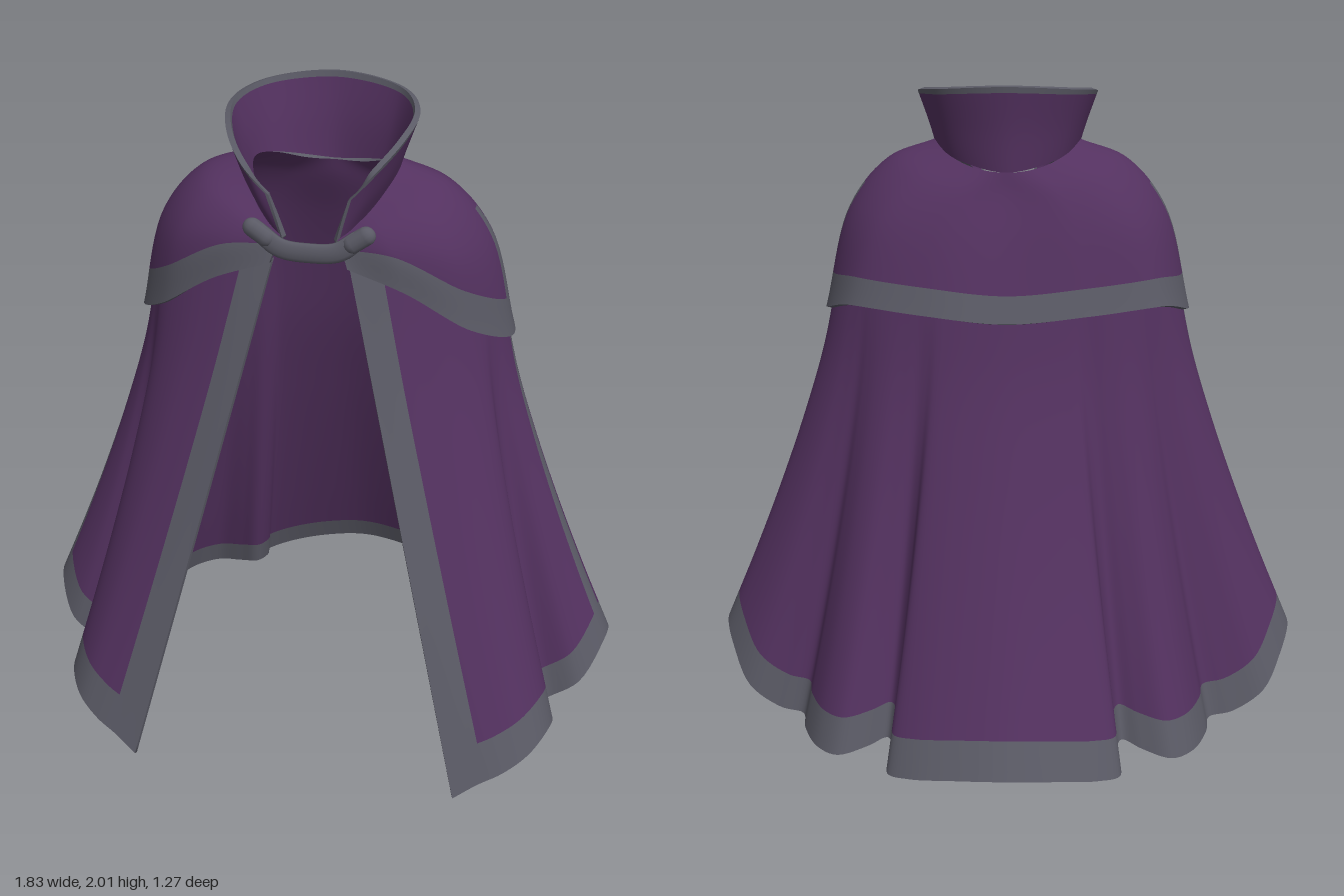
import * as THREE from 'three';

const purple = new THREE.MeshStandardMaterial({ color: 0x53315f });
purple.name = 'purple cloth';
const grey = new THREE.MeshStandardMaterial({ color: 0x5a5a65 });
grey.name = 'grey trim';
const V = (x, y, z) => new THREE.Vector3(x, y, z);

// Mirror a half set of columns (front to back) into a full set running round the back
function mirrored(half) {
  const right = half.map((col) => col.map(([x, y, z]) => V(-x, y, z)));
  const left = half.map((col) => col.map(([x, y, z]) => V(x, y, z))).reverse().slice(1);
  return [...right, ...left];
}

// Smooth surface through the columns: u runs round the body, v runs down a column
function loft(columns) {
  const curves = columns.map((c) => new THREE.CatmullRomCurve3(c));
  const rows = new Map();
  const row = (v) => {
    if (!rows.has(v)) rows.set(v, new THREE.CatmullRomCurve3(curves.map((c) => c.getPoint(v))));
    return rows.get(v);
  };
  return (u, v) => row(v).getPoint(u);
}

// Cloth with thickness: outer face, lining and grey edge; the two rules say where trim lies
function cloth(name, surface, nu, nv, thickness, outerTrim, innerTrim) {
  const w = nu + 1, n = w * (nv + 1);
  const id = (i, j) => j * w + i;
  const pos = [];
  const faces = [[], []];
  const skin = [];
  for (let j = 0; j <= nv; j++)
    for (let i = 0; i <= nu; i++) pos.push(...surface(i / nu, j / nv).toArray());
  for (let j = 0; j < nv; j++)
    for (let i = 0; i < nu; i++) {
      const a = id(i, j), b = id(i + 1, j), c = id(i + 1, j + 1), d = id(i, j + 1);
      const u = (i + 0.5) / nu, v = (j + 0.5) / nv;
      skin.push(a, b, c, a, c, d);
      faces[outerTrim(u, v) ? 1 : 0].push(a, b, c, a, c, d);
      faces[innerTrim(u, v) ? 1 : 0].push(n + a, n + c, n + b, n + a, n + d, n + c);
    }

  // Lining: the outer face moved inward along its normals
  const outer = new THREE.BufferGeometry();
  outer.setAttribute('position', new THREE.Float32BufferAttribute(pos, 3));
  outer.setIndex(skin);
  outer.computeVertexNormals();
  const normals = outer.attributes.normal.array;
  for (let k = 0; k < n * 3; k++) pos.push(pos[k] - normals[k] * thickness);

  // Edge strip all round
  const rim = [];
  for (let i = 0; i < nu; i++) rim.push(id(i, 0));
  for (let j = 0; j < nv; j++) rim.push(id(nu, j));
  for (let i = nu; i > 0; i--) rim.push(id(i, nv));
  for (let j = nv; j > 0; j--) rim.push(id(0, j));
  rim.forEach((r, k) => {
    for (const q of [r, n + r]) pos.push(pos[q * 3], pos[q * 3 + 1], pos[q * 3 + 2]);
    const a = 2 * n + 2 * k, b = 2 * n + 2 * ((k + 1) % rim.length);
    faces[1].push(a, a + 1, b, b, a + 1, b + 1);
  });

  const geo = new THREE.BufferGeometry();
  geo.setAttribute('position', new THREE.Float32BufferAttribute(pos, 3));
  geo.setIndex([...faces[0], ...faces[1]]);
  geo.addGroup(0, faces[0].length, 0);
  geo.addGroup(faces[0].length, faces[1].length, 1);
  geo.computeVertexNormals();
  const mesh = new THREE.Mesh(geo, [purple, grey]);
  mesh.name = name;
  return mesh;
}

// Distance from the front edge, counted in columns
const fromFront = (u, count) => Math.min(u, 1 - u) * (count - 1);

// Long pleated cloak: hem points (x, y, z) and their angle on the shoulder ring
function makeCloak() {
  const hem = [
    [0.50, 0.00, 0.63, 0.21], [0.57, 0.04, 0.60, 0.35], [0.64, 0.07, 0.57, 0.50],
    [0.71, 0.11, 0.52, 0.72], [0.76, 0.14, 0.43, 0.95], [0.77, 0.13, 0.35, 1.10],
    [0.72, 0.10, 0.28, 1.20], [0.74, 0.09, 0.22, 1.27], [0.84, 0.16, 0.20, 1.40],
    [0.905, 0.26, 0.10, 1.57], [0.915, 0.26, 0.02, 1.70], [0.88, 0.20, -0.08, 1.85],
    [0.82, 0.11, -0.16, 2.00], [0.72, 0.05, -0.19, 2.12], [0.645, 0.04, -0.21, 2.20],
    [0.63, 0.03, -0.28, 2.27], [0.58, 0.02, -0.38, 2.36], [0.51, 0.02, -0.43, 2.46],
    [0.42, 0.04, -0.41, 2.57], [0.36, 0.06, -0.39, 2.65], [0.34, 0.05, -0.44, 2.70],
    [0.35, 0.02, -0.53, 2.76], [0.28, 0.03, -0.58, 2.85], [0.15, 0.05, -0.62, 3.00],
    [0.00, 0.06, -0.64, Math.PI],
  ];
  const half = hem.map(([x, y, z, a], k) => {
    const top = [0.52 * Math.sin(a), 1.42 + 0.19 * Math.max(0, 1 - a / 1.4), 0.06 + 0.24 * Math.cos(a)];
    const flare = 1 + 0.28 * Math.min(1, k / 6);
    return [0, 0.2, 0.4, 0.6, 0.8, 1].map((v) => {
      const s = v ** flare;
      return [top[0] + (x - top[0]) * s, top[1] + (y - top[1]) * v, top[2] + (z - top[2]) * s];
    });
  });
  const columns = mirrored(half);
  const k = (u) => fromFront(u, columns.length);
  return cloth('cloak', loft(columns), 288, 50, 0.012,
    (u, v) => v > 0.92 || k(u) < 1.3 || Math.abs(k(u) - 9.33) < 0.3,
    (u, v) => v > 0.945 || k(u) < 0.35);
}

// Shoulder cape with a trimmed lower edge and a side stripe
function makeCape() {
  const columns = mirrored([
    [[0.08, 1.66, 0.31], [0.09, 1.64, 0.315], [0.10, 1.61, 0.32], [0.11, 1.58, 0.325]],
    [[0.15, 1.72, 0.27], [0.20, 1.69, 0.30], [0.24, 1.63, 0.32], [0.27, 1.52, 0.32]],
    [[0.20, 1.78, 0.19], [0.32, 1.735, 0.22], [0.40, 1.62, 0.25], [0.45, 1.39, 0.25]],
    [[0.22, 1.82, 0.10], [0.36, 1.765, 0.09], [0.48, 1.62, 0.08], [0.56, 1.31, 0.08]],
    [[0.17, 1.79, -0.02], [0.29, 1.73, -0.05], [0.39, 1.60, -0.09], [0.47, 1.36, -0.12]],
    [[0.09, 1.76, -0.07], [0.16, 1.69, -0.11], [0.21, 1.58, -0.15], [0.25, 1.35, -0.205]],
    [[0.00, 1.75, -0.085], [0.00, 1.69, -0.10], [0.00, 1.56, -0.15], [0.00, 1.33, -0.225]],
  ]);
  const curves = columns.map((c) => new THREE.CatmullRomCurve3(c));
  const band = 0.8;
  // Rows are spaced so the trim begins on a row and widens towards the clasp
  const start = (s) => 0.89 - 0.5 * Math.max(0, (s - 0.35) / 0.65) ** 3;
  const spaced = curves.map((c, i) => {
    const t = start(Math.abs(i - 6) / 6);
    return { getPoint: (v) => c.getPoint(v < band ? (v / band) * t : t + ((v - band) / (1 - band)) * (1 - t)) };
  });
  const rows = new Map();
  const surface = (u, v) => {
    if (!rows.has(v)) rows.set(v, new THREE.CatmullRomCurve3(spaced.map((c) => c.getPoint(v))));
    return rows.get(v).getPoint(u);
  };
  const k = (u) => fromFront(u, columns.length);
  return cloth('shoulderCape', surface, 192, 30, 0.016,
    (u, v) => v > band || (v > 0.45 && Math.abs(k(u) - 3) < 0.125),
    (u, v) => v > 0.95);
}

// Standing collar, open at the front
function makeCollar() {
  const columns = mirrored([
    [[0.11, 1.78, 0.32], [0.09, 1.71, 0.315], [0.075, 1.65, 0.31]],
    [[0.18, 1.86, 0.325], [0.155, 1.77, 0.305], [0.13, 1.70, 0.285]],
    [[0.245, 1.925, 0.235], [0.215, 1.83, 0.22], [0.19, 1.76, 0.20]],
    [[0.268, 1.965, 0.10], [0.235, 1.87, 0.10], [0.215, 1.80, 0.10]],
    [[0.20, 1.985, -0.045], [0.18, 1.87, -0.02], [0.16, 1.78, -0.01]],
    [[0.00, 2.00, -0.115], [0.00, 1.87, -0.095], [0.00, 1.75, -0.085]],
  ]);
  const k = (u) => fromFront(u, columns.length);
  const trim = (u, v) => v < 0.07 || k(u) < 0.2;
  return cloth('collar', loft(columns), 120, 30, 0.016, trim, trim);
}

// Strap across the throat with a knot at each end
function makeClasp() {
  const clasp = new THREE.Group();
  clasp.name = 'clasp';
  const path = new THREE.CatmullRomCurve3([V(-0.14, 0.04, -0.005), V(-0.08, 0, 0.005), V(0, -0.008, 0.008), V(0.08, 0, 0.005), V(0.14, 0.04, -0.005)]);
  const strap = new THREE.Mesh(new THREE.TubeGeometry(path, 24, 0.03, 10), grey);
  strap.scale.z = 0.4;
  strap.position.set(0, 1.625, 0.315);
  strap.name = 'strap';
  clasp.add(strap);
  for (const side of [-1, 1]) {
    const knot = new THREE.Mesh(new THREE.CapsuleGeometry(0.028, 0.045, 6, 12), grey);
    knot.position.set(side * 0.14, 1.665, 0.312);
    knot.rotation.z = side * -0.95;
    knot.scale.z = 0.8;
    knot.name = 'knot';
    clasp.add(knot);
  }
  return clasp;
}

export function createModel() {
  const model = new THREE.Group();
  model.name = 'hoodlessCloak';
  model.add(makeCloak(), makeCape(), makeCollar(), makeClasp());
  return model;
}
